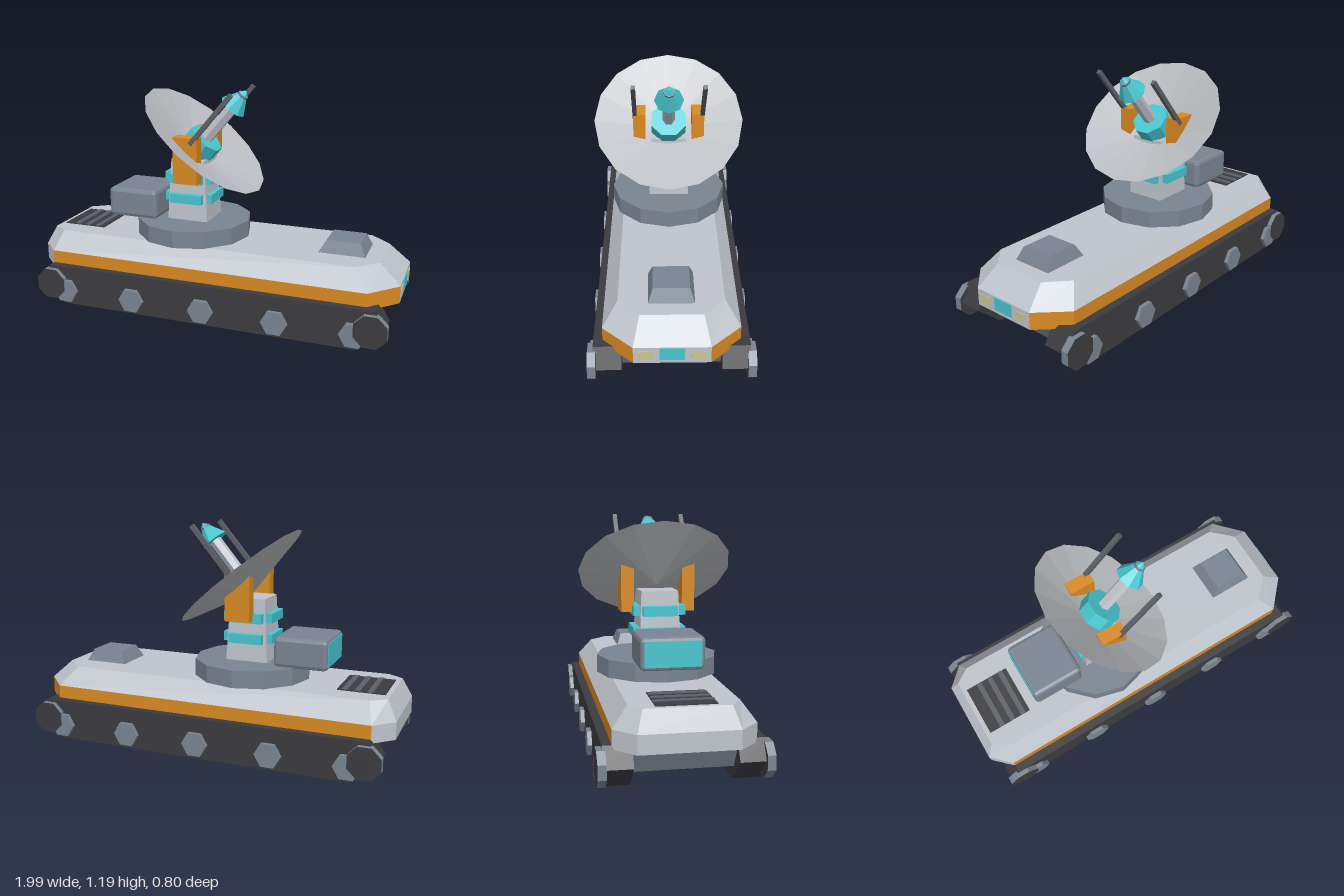
import * as THREE from 'three';
import { RoundedBoxGeometry } from 'three/addons/geometries/RoundedBoxGeometry.js';

const paint = (name, color, side = THREE.FrontSide) => {
  const m = new THREE.MeshStandardMaterial({ color, side, flatShading: true });
  m.name = name;
  return m;
};

// Closed solid through horizontal rings {y, pts:[[x,z],...]}; pick(level, edge) gives the material index
function loft(rings, pick = () => 0) {
  const pos = [], geo = new THREE.BufferGeometry();
  const n = rings[0].pts.length, last = rings.length - 1;
  const put = (r, i) => pos.push(rings[r].pts[i % n][0], rings[r].y, rings[r].pts[i % n][1]);
  for (let r = 0; r < last; r++) {
    for (let i = 0; i < n; i++) {
      geo.addGroup(pos.length / 3, 6, pick(r, i));
      put(r, i); put(r, i + 1); put(r + 1, i + 1);
      put(r, i); put(r + 1, i + 1); put(r + 1, i);
    }
  }
  geo.addGroup(pos.length / 3, (n - 2) * 6, 0);
  for (let i = 1; i < n - 1; i++) {
    put(last, 0); put(last, i); put(last, i + 1);
    put(0, 0); put(0, i + 1); put(0, i);
  }
  geo.setAttribute('position', new THREE.Float32BufferAttribute(pos, 3));
  geo.computeVertexNormals();
  return geo;
}

const rect = (x0, x1, z) => [[x1, z], [x1, -z], [x0, -z], [x0, z]];

// Long octagon: nose and tail ends with cut corners
const octagon = (nose, noseZ, noseCut, tail, tailZ, tailCut, z) => [
  [nose, noseZ], [nose, -noseZ], [noseCut, -z], [tailCut, -z],
  [tail, -tailZ], [tail, tailZ], [tailCut, z], [noseCut, z],
];

export function createModel() {
  const model = new THREE.Group();
  const hullPaint = paint('pale grey', 0xbfc4cc);
  const dishPaint = paint('dish grey', 0xb9bcc0, THREE.DoubleSide);
  const orange = paint('orange', 0xd98a22);
  const cyan = paint('cyan', 0x48c6d0);
  const steel = paint('steel grey', 0x7a8592);
  const dark = paint('track black', 0x3c3b3f);
  const lampPaint = paint('lamp cream', 0xcdc493);
  const slatPaint = paint('slat grey', 0x5c6068);

  const add = (parent, name, geo, mat, x = 0, y = 0, z = 0) => {
    const m = new THREE.Mesh(geo, mat);
    m.name = name;
    m.position.set(x, y, z);
    parent.add(m);
    return m;
  };
  const box = (parent, name, mat, w, h, d, x, y, z) =>
    add(parent, name, new THREE.BoxGeometry(w, h, d), mat, x, y, z);

  // Hull with orange side and nose-corner skirts
  const skirt = octagon(0.99, 0.18, 0.85, -1, 0.23, -0.9, 0.328);
  const deck = octagon(0.88, 0.15, 0.77, -0.95, 0.2, -0.87, 0.255);
  add(model, 'hull', loft(
    [{ y: 0.195, pts: skirt }, { y: 0.285, pts: skirt }, { y: 0.385, pts: deck }],
    (level, edge) => (level === 0 && [1, 2, 6, 7].includes(edge) ? 1 : 0),
  ), [hullPaint, orange]);
  add(model, 'chassis', loft([
    { y: 0.07, pts: rect(-0.85, 0.85, 0.24) }, { y: 0.2, pts: rect(-0.92, 0.92, 0.24) },
  ]), steel);

  // Nose window and lamps
  box(model, 'noseWindow', cyan, 0.008, 0.066, 0.118, 0.99, 0.247, 0);
  for (const s of [1, -1]) box(model, 'headlamp', lampPaint, 0.008, 0.044, 0.068, 0.99, 0.241, s * 0.123);

  // Tracks, end wheels and hubs on both sides
  const profile = new THREE.Shape([
    [-0.82, 0], [0.82, 0], [0.955, 0.12], [0.9, 0.215], [-0.9, 0.215], [-0.955, 0.12],
  ].map(([x, y]) => new THREE.Vector2(x, y)));
  const trackGeo = new THREE.ExtrudeGeometry(profile, { depth: 0.135, bevelEnabled: false });
  const hubGeo = new THREE.CylinderGeometry(0.07, 0.07, 0.04, 6);
  hubGeo.rotateY(Math.PI / 6).rotateX(Math.PI / 2);
  hubGeo.rotateZ(0);
  const wheelGeo = new THREE.CylinderGeometry(0.09, 0.09, 0.04, 8);
  wheelGeo.rotateY(Math.PI / 8).rotateX(Math.PI / 2);
  for (const s of [1, -1]) {
    add(model, 'track', trackGeo, dark, 0, 0, s > 0 ? 0.237 : -0.372);
    for (const x of [-0.8, -0.4, 0, 0.4, 0.8]) add(model, 'wheelHub', hubGeo, steel, x, 0.08, s * 0.374);
    for (const x of [-0.885, 0.885]) add(model, 'endWheel', wheelGeo, [steel, dark, dark], x, 0.115, s * 0.378);
  }

  // Deck hatch and rear vent
  add(model, 'hatch', loft([
    { y: 0.38, pts: rect(0.55, 0.8, 0.113) }, { y: 0.45, pts: rect(0.59, 0.765, 0.088) },
  ]), steel);
  box(model, 'ventPanel', dark, 0.245, 0.008, 0.28, -0.803, 0.386, 0);
  for (const x of [-0.85, -0.785, -0.72]) box(model, 'ventSlat', slatPaint, 0.028, 0.008, 0.28, x, 0.39, 0);

  // Turret base, equipment box and neck
  const tx = -0.18;
  add(model, 'turretBase', new THREE.CylinderGeometry(0.314, 0.314, 0.092, 12), steel, tx, 0.43, 0);
  add(model, 'equipmentBox', new RoundedBoxGeometry(0.285, 0.16, 0.314, 1, 0.02), steel, -0.487, 0.552, 0);
  box(model, 'equipmentPanel', cyan, 0.006, 0.125, 0.275, -0.629, 0.552, 0);
  add(model, 'neck', loft([
    { y: 0.47, pts: rect(tx - 0.115, tx + 0.115, 0.108) }, { y: 0.81, pts: rect(tx - 0.095, tx + 0.095, 0.095) },
  ]), hullPaint);
  for (const y of [0.6, 0.71]) {
    for (const s of [1, -1]) {
      box(model, 'neckBand', cyan, 0.04, 0.05, 0.18, tx + s * 0.115, y, 0);
      box(model, 'neckBand', cyan, 0.18, 0.05, 0.04, tx, y, s * 0.115);
    }
  }
  for (const s of [1, -1]) box(model, 'dishBracket', orange, 0.135, 0.25, 0.066, -0.157, 0.825, s * 0.158);

  // Tilted antenna: local y is the dish axis
  const antenna = new THREE.Group();
  antenna.name = 'antenna';
  antenna.position.set(-0.112, 0.91, 0);
  antenna.rotation.z = -0.7;
  model.add(antenna);
  const rod = (name, mat, top, bottom, y0, y1, sides) =>
    add(antenna, name, new THREE.CylinderGeometry(top, bottom, y1 - y0, sides), mat, 0, (y0 + y1) / 2, 0);
  add(antenna, 'dish', new THREE.LatheGeometry(
    [new THREE.Vector2(0.0001, -0.105), new THREE.Vector2(0.4, 0)], 16), dishPaint);
  rod('feedBase', cyan, 0.1, 0.1, -0.075, 0.01, 8).rotation.y = Math.PI / 8;
  rod('feedMast', hullPaint, 0.034, 0.034, 0, 0.25, 6);
  rod('feedHead', cyan, 0.03, 0.077, 0.24, 0.32, 8);
  rod('feedCollar', steel, 0.03, 0.03, 0.318, 0.332, 8);
  rod('feedTip', cyan, 0.004, 0.026, 0.332, 0.355, 8);
  for (const s of [1, -1]) box(antenna, 'aerial', slatPaint, 0.024, 0.35, 0.022, -0.018, 0.17, s * 0.182);

  return model;
}
